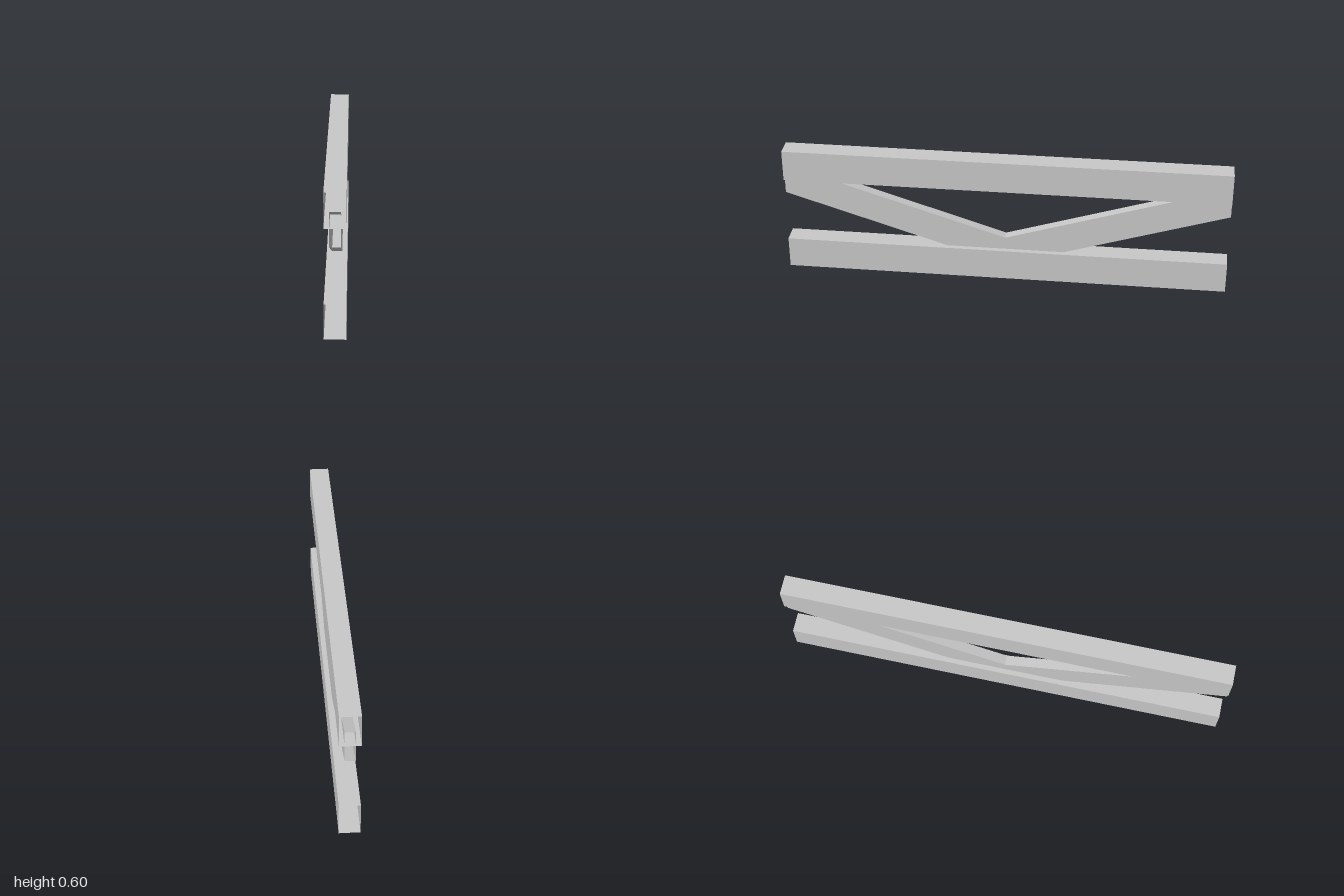
import * as THREE from 'three';

// Open-ended rectangular tube along z; each section is [z, bottom y, top y]
function openTube(halfWidth, sections) {
  const rings = sections.map(([z, bottom, top]) => [
    [-halfWidth, bottom, z],
    [halfWidth, bottom, z],
    [halfWidth, top, z],
    [-halfWidth, top, z],
  ]);
  const positions = [];
  for (let i = 0; i < rings.length - 1; i++) {
    const a = rings[i], b = rings[i + 1];
    for (let k = 0; k < 4; k++) {
      const n = (k + 1) % 4;
      for (const p of [a[k], a[n], b[n], a[k], b[n], b[k]]) positions.push(...p);
    }
  }
  const geometry = new THREE.BufferGeometry();
  geometry.setAttribute('position', new THREE.Float32BufferAttribute(positions, 3));
  geometry.computeVertexNormals();
  return geometry;
}

export function createModel() {
  const group = new THREE.Group();
  group.name = 'truss';
  const steel = new THREE.MeshStandardMaterial({ color: 0xc8c8c8 });
  steel.name = 'steelGrey';
  steel.side = THREE.DoubleSide;

  const addTube = (name, halfWidth, sections) => {
    const mesh = new THREE.Mesh(openTube(halfWidth, sections), steel);
    mesh.name = name;
    group.add(mesh);
  };

  // Upper and lower chords
  addTube('topChord', 0.045, [[-1, 0.452, 0.597], [1, 0.452, 0.597]]);
  addTube('bottomChord', 0.045, [[-1, 0, 0.145], [1, 0, 0.145]]);

  // V-shaped brace, mitred in the middle, running into both chords
  addTube('diagonalBrace', 0.0225, [[-1, 0.378, 0.521], [0, 0.061, 0.204], [1, 0.378, 0.521]]);

  return group;
}
